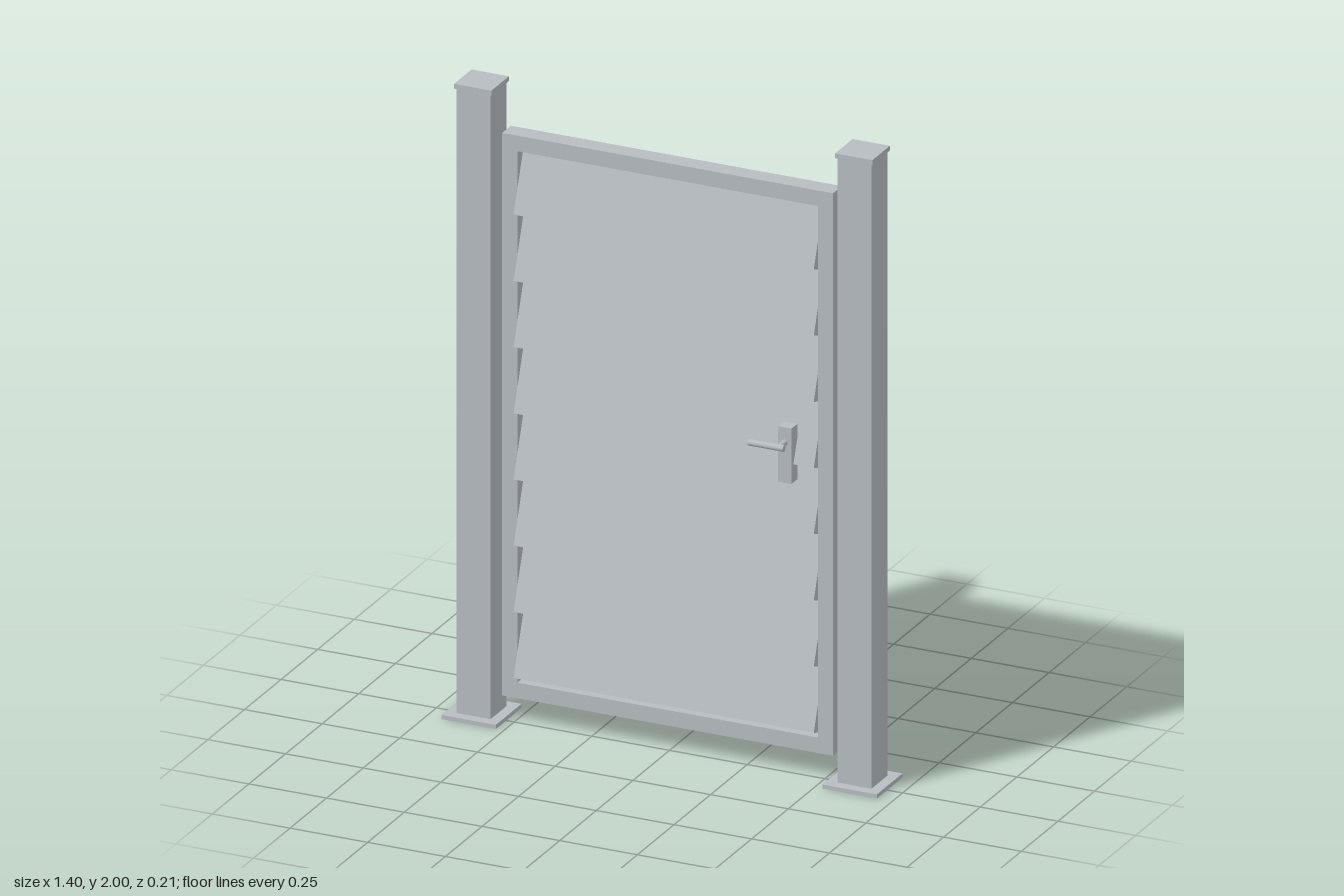
import * as THREE from 'three';

export function createModel() {
  const gate = new THREE.Group();
  gate.name = 'louvredGate';
  const metal = new THREE.MeshStandardMaterial({ color: 0xb6bcc0 });
  metal.name = 'grey metal';
  const Z = -0.017; // centre plane of posts and leaf

  function add(name, geometry, x, y, z, parent = gate) {
    const mesh = new THREE.Mesh(geometry, metal);
    mesh.name = name;
    mesh.position.set(x, y, z);
    parent.add(mesh);
    return mesh;
  }
  const box = (w, h, d) => new THREE.BoxGeometry(w, h, d);

  // Posts with foot plates and caps
  for (const side of [-1, 1]) {
    const post = new THREE.Group();
    post.name = side > 0 ? 'leftPost' : 'rightPost';
    gate.add(post);
    const x = side * 0.613;
    add('footPlate', box(0.175, 0.013, 0.175), x, 0.0065, Z, post);
    add('shaft', box(0.11, 1.973, 0.11), x, 0.9995, Z, post);
    add('cap', box(0.12, 0.015, 0.12), x, 1.9925, Z, post);
  }

  // Leaf frame: full-height stiles with rails between
  for (const side of [-1, 1]) {
    add('frameStile', box(0.049, 1.776, 0.06), side * 0.508, 0.971, Z);
  }
  for (const y of [0.1075, 1.8345]) add('frameRail', box(0.967, 0.049, 0.06), 0, y, Z);

  // Tilted slats, upper edge leaning back
  for (let i = 0; i < 8; i++) {
    const slat = add('slat', box(0.966, 0.195, 0.05), 0, 0.24 + i * 0.209, Z);
    slat.rotation.x = -THREE.MathUtils.degToRad(20);
  }

  // Hinge barrels behind the leaf
  for (const y of [0.36, 1.583]) {
    add('hinge', new THREE.CylinderGeometry(0.016, 0.016, 0.117, 24), -0.536, y, -0.073);
  }

  // Lever handle
  const handle = new THREE.Group();
  handle.name = 'handle';
  gate.add(handle);
  add('backPlate', box(0.043, 0.175, 0.04), 0.396, 1.023, 0.033, handle);
  add('neck', new THREE.CylinderGeometry(0.009, 0.009, 0.045, 20), 0.396, 1.063, 0.073, handle)
    .rotation.x = Math.PI / 2;
  add('lever', new THREE.CylinderGeometry(0.01, 0.01, 0.113, 20), 0.357, 1.063, 0.095, handle)
    .rotation.z = Math.PI / 2;

  return gate;
}
